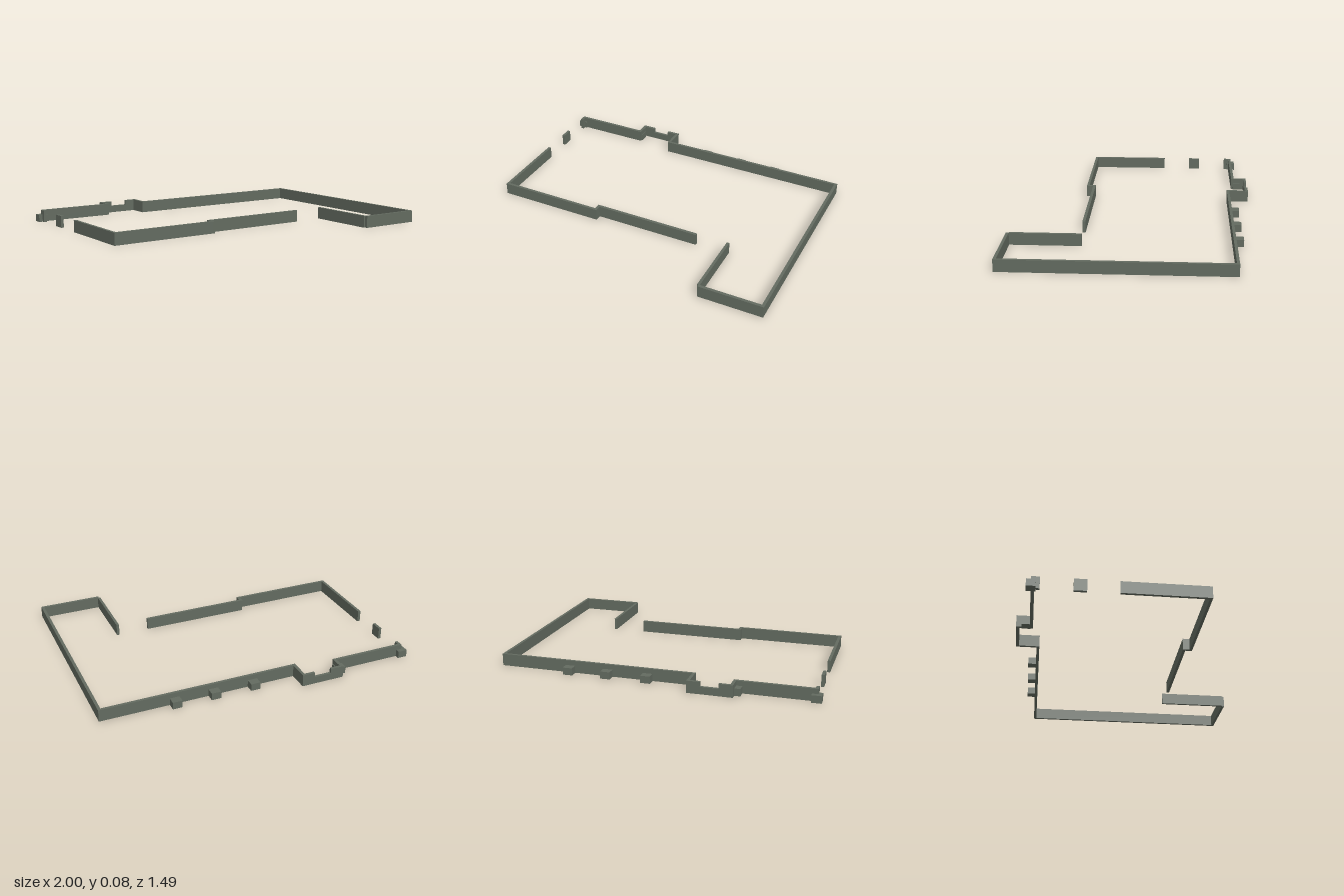
import * as THREE from 'three';

const WALL = 0.075, LOW = 0.045;

export function createModel() {
  const group = new THREE.Group();
  const stone = new THREE.MeshStandardMaterial({ color: 0x636b60 });
  stone.name = 'grey green stone';

  // Box standing on the ground, given by its plan limits
  const block = (name, x0, x1, z0, z1, height) => {
    const mesh = new THREE.Mesh(new THREE.BoxGeometry(x1 - x0, height, z1 - z0), stone);
    mesh.position.set((x0 + x1) / 2, height / 2, (z0 + z1) / 2);
    mesh.name = name;
    group.add(mesh);
  };

  // Full-height walls: name, x0, x1, z0, z1
  [
    ['leftWall', 0.982, 1, -0.622, 0.746],
    ['frontLeftWall', 0.597, 1, 0.728, 0.746],
    ['frontReturnWall', 0.588, 0.605, 0.292, 0.728],
    ['frontMiddleWall', -0.306, 0.39, 0.292, 0.31],
    ['frontStep', -0.306, -0.289, 0.31, 0.352],
    ['frontRightWall', -0.976, -0.306, 0.335, 0.352],
    ['rightWall', -0.976, -0.958, -0.17, 0.335],
    ['rightPier', -0.976, -0.958, -0.43, -0.355],
    ['rightCornerStub', -0.976, -0.958, -0.648, -0.617],
    ['backRightWall', -0.976, -0.505, -0.666, -0.648],
    ['bayRightSide', -0.505, -0.487, -0.748, -0.648],
    ['bayRightPier', -0.487, -0.42, -0.748, -0.731],
    ['bayLeftPier', -0.31, -0.247, -0.748, -0.731],
    ['bayLeftSide', -0.247, -0.229, -0.748, -0.605],
    ['backLeftWall', -0.229, 0.982, -0.622, -0.605],
  ].forEach(w => block(...w, WALL));

  // Low sill between the bay piers
  block('baySill', -0.42, -0.31, -0.748, -0.731, LOW);

  // Low blocks along the back
  [[-0.97, -0.666], [-0.511, -0.688], [0.046, -0.645], [0.3, -0.645], [0.543, -0.645]]
    .forEach(([x, z]) => block('backBlock', x - 0.03, x + 0.03, z - 0.027, z + 0.027, LOW));

  return group;
}
